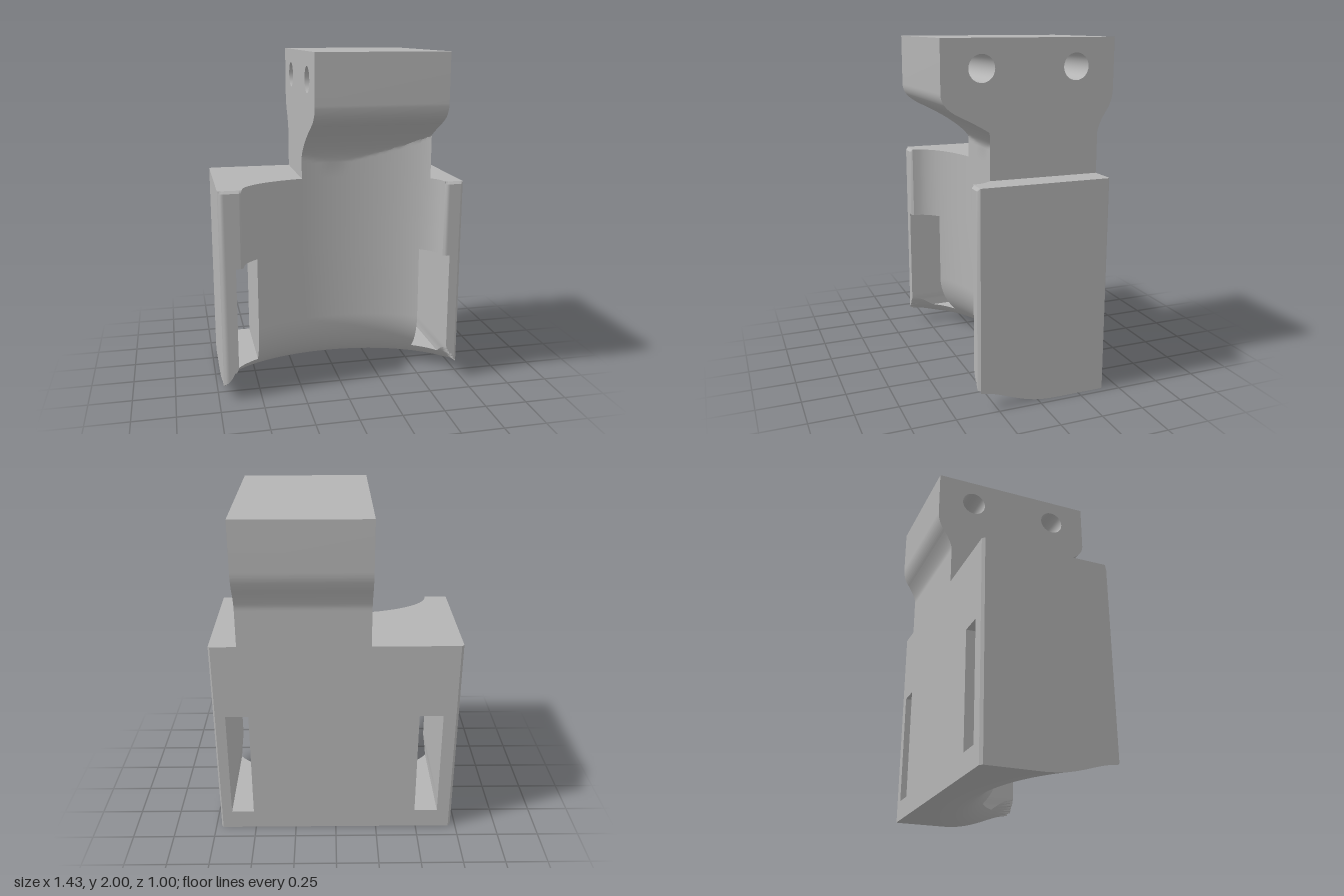
import * as THREE from 'three';
import { toCreasedNormals } from 'three/addons/utils/BufferGeometryUtils.js';

const BACK = -0.41, SHOULDER = 1.25, NECK_TOP = 1.595;
const NECK = [-0.2, 0.555], SLOTS = [[-0.63, -0.49], [0.51, 0.645]], SLOT_Y = [0.12, 0.8];
const CX = 0.011, A = 0.595, B = 0.28, R = 0.36; // hollow ellipse and bottom flare radius

// Evenly spaced values plus exact break lines, sorted and without near duplicates
function gridLines(ranges, breaks) {
  const out = [...breaks];
  for (const [from, to, n] of ranges) {
    for (let i = 0; i <= n; i++) {
      const v = from + (to - from) * i / n;
      if (out.every(o => Math.abs(o - v) > 0.003)) out.push(v);
    }
  }
  return out.sort((p, q) => p - q);
}

// Front surface: chamfered lips, elliptical hollow flaring at the bottom, neck fillet at the top
function frontZ(x, y) {
  const d = Math.abs(x - CX);
  let lip = Math.min(0.36, 0.345 + Math.max(0, d - A), 0.36 - (Math.abs(x) - 0.7));
  if (y <= SHOULDER) lip = Math.min(lip, 0.36 - (y - 1.235));
  const f = y < R ? R - Math.sqrt(R * R - (R - y) ** 2) : 0;
  let z = lip;
  if (d < A + f) z = Math.min(lip, 0.345 - (B + f) * Math.sqrt(1 - (d / (A + f)) ** 2));
  if (y > 1.34) z = Math.max(z, 0.065 + 0.325 * ((y - 1.34) / 0.255) ** 1.62);
  return z;
}

// Back surface: flat with chamfered sides, leaning out under the head
function backZ(x, y) {
  if (y > 1.48) return BACK - 0.05 * ((y - 1.48) / 0.115) ** 1.5;
  return BACK + Math.max(0, Math.abs(x) - 0.705);
}

// Whether a grid cell is material
function isSolid(x, y) {
  if (y > SHOULDER) return x > NECK[0] && x < NECK[1];
  const inSlot = SLOTS.some(([l, r]) => x > l && x < r);
  return !(inSlot && y > SLOT_Y[0] && y < SLOT_Y[1]);
}

function bodyGeometry() {
  const xs = gridLines([[-0.72, -0.5, 26], [-0.5, 0.5, 36], [0.5, 0.715, 26]],
    [-0.72, -0.705, 0.715, 0.705, CX - A, CX + A, ...NECK, ...SLOTS.flat()]);
  const ys = gridLines([[0, 0.04, 8], [0.04, 0.13, 14], [0.13, 0.36, 14], [1.34, NECK_TOP, 18]],
    [0, ...SLOT_Y, 1.235, SHOULDER, NECK_TOP]);
  const pos = [];
  const quad = (a, b, c, d) => pos.push(...a, ...b, ...c, ...a, ...c, ...d);
  const F = ([i, j]) => [xs[i], ys[j], frontZ(xs[i], ys[j])];
  const K = ([i, j]) => [xs[i], ys[j], backZ(xs[i], ys[j])];
  const solid = (i, j) => {
    if (i < 0 || j < 0 || i >= xs.length - 1) return false;
    if (j >= ys.length - 1) return true; // closed by the head
    return isSolid((xs[i] + xs[i + 1]) / 2, (ys[j] + ys[j + 1]) / 2);
  };
  for (let j = 0; j < ys.length - 1; j++) {
    for (let i = 0; i < xs.length - 1; i++) {
      if (!solid(i, j)) continue;
      const c = [[i, j], [i + 1, j], [i + 1, j + 1], [i, j + 1]];
      quad(...c.map(F));
      quad(...c.map(K).reverse());
      // Walls wherever the neighbouring cell is empty
      [[i, j - 1], [i + 1, j], [i, j + 1], [i - 1, j]].forEach((n, k) => {
        const a = c[k], b = c[(k + 1) % 4];
        if (!solid(...n)) quad(F(a), K(a), K(b), F(b));
      });
    }
  }
  const g = new THREE.BufferGeometry();
  g.setAttribute('position', new THREE.Float32BufferAttribute(pos, 3));
  return toCreasedNormals(g, 0.6);
}

// Head block: side profile with two cross holes, extruded across the width
function headGeometry() {
  const s = new THREE.Shape();
  s.moveTo(-0.46, NECK_TOP);
  s.lineTo(0.39, NECK_TOP);
  s.bezierCurveTo(0.45, 1.625, 0.5, 1.66, 0.5, 1.72);
  s.lineTo(0.5, 2);
  s.lineTo(-0.5, 2);
  s.lineTo(-0.5, 1.72);
  s.bezierCurveTo(-0.5, 1.67, -0.485, 1.63, -0.46, NECK_TOP);
  for (const z of [0.275, -0.27]) {
    const hole = new THREE.Path();
    hole.absarc(z, 1.845, 0.074, 0, Math.PI * 2, true);
    s.holes.push(hole);
  }
  const g = new THREE.ExtrudeGeometry(s, { depth: NECK[1] - NECK[0], bevelEnabled: false, curveSegments: 20 });
  g.rotateY(-Math.PI / 2).translate(NECK[1], 0, 0);
  return toCreasedNormals(g, 0.5);
}

export function createModel() {
  const grey = new THREE.MeshStandardMaterial({ color: 0xb4b4b4 });
  grey.name = 'grey';
  const group = new THREE.Group();
  group.name = 'bracket';
  const add = (name, geometry) => {
    const mesh = new THREE.Mesh(geometry, grey);
    mesh.name = name;
    group.add(mesh);
  };
  add('slottedBodyAndNeck', bodyGeometry());
  add('drilledHead', headGeometry());
  return group;
}
